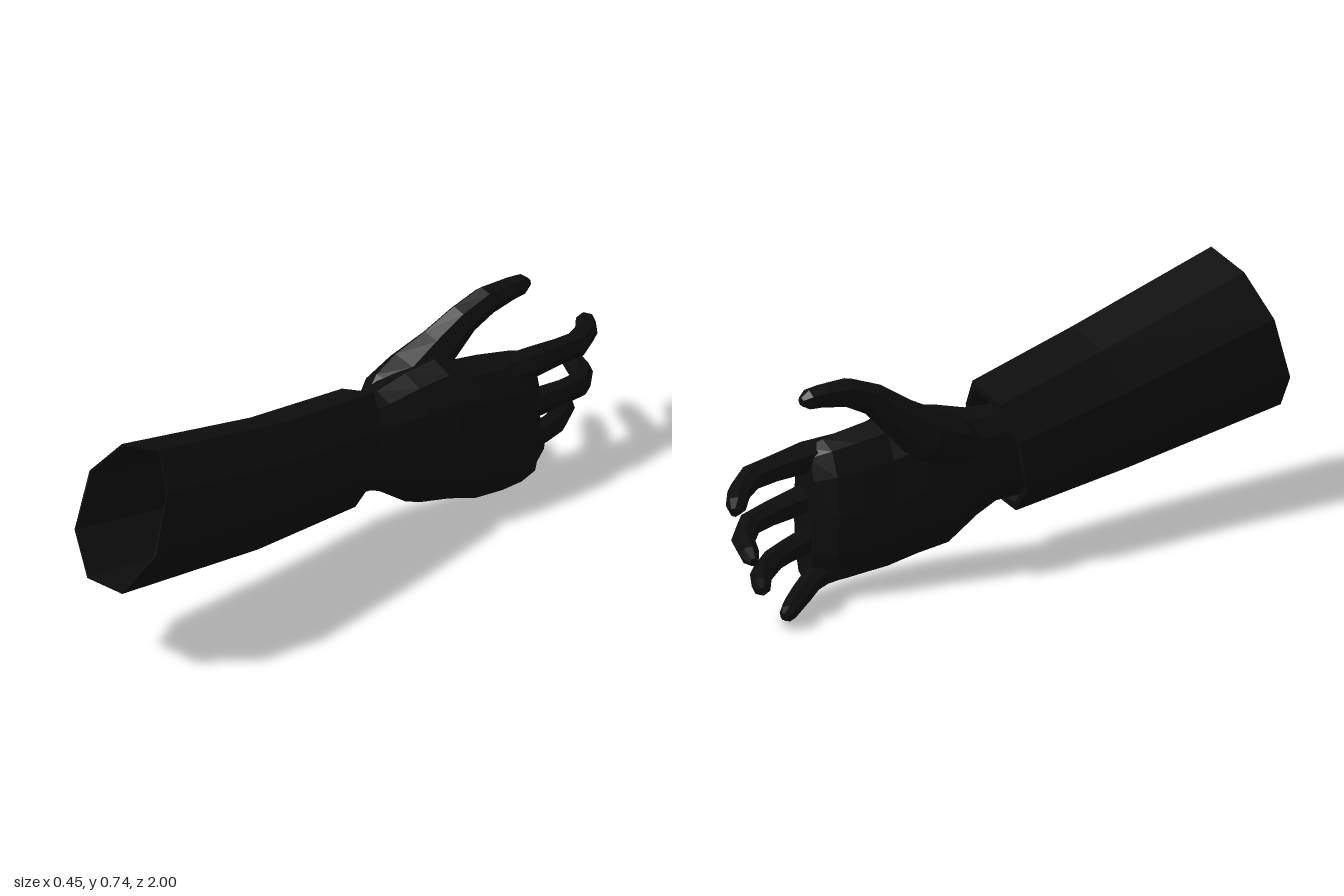
import * as THREE from 'three';

// Skin a list of equal-length rings (counter-clockwise seen from the start).
function loft(rings, capStart, capEnd) {
  const n = rings[0].length, pos = [], idx = [];
  rings.forEach(r => r.forEach(p => pos.push(p.x, p.y, p.z)));
  for (let i = 0; i < rings.length - 1; i++) {
    for (let j = 0; j < n; j++) {
      const a = i * n + j, b = i * n + (j + 1) % n, c = a + n, d = b + n;
      idx.push(a, c, b, b, c, d);
    }
  }
  const last = (rings.length - 1) * n;
  for (let j = 1; j < n - 1; j++) {
    if (capStart) idx.push(0, j, j + 1);
    if (capEnd) idx.push(last, last + j + 1, last + j);
  }
  const g = new THREE.BufferGeometry();
  g.setAttribute('position', new THREE.Float32BufferAttribute(pos, 3));
  g.setIndex(idx);
  g.computeVertexNormals();
  return g;
}

// Tapered digit along points [x, y, z, radius].
function digit(path, sides = 7) {
  const pts = path.map(p => new THREE.Vector3(p[0], p[1], p[2]));
  const rings = pts.map((p, i) => {
    const d = pts[Math.min(i + 1, pts.length - 1)].clone().sub(pts[Math.max(i - 1, 0)]).normalize();
    const v = new THREE.Vector3(0, 1, 0).addScaledVector(d, -d.y).normalize();
    const u = v.clone().cross(d.clone().negate());
    return Array.from({ length: sides }, (_, k) => {
      const a = k / sides * Math.PI * 2, r = path[i][3];
      return p.clone().addScaledVector(u, Math.cos(a) * r).addScaledVector(v, Math.sin(a) * r);
    });
  });
  return loft(rings, true, true);
}

export function createModel() {
  const group = new THREE.Group();
  const black = new THREE.MeshStandardMaterial({ color: 0x0d0d0d, flatShading: true, side: THREE.DoubleSide });
  black.name = 'black';
  const add = (name, geometry) => {
    const m = new THREE.Mesh(geometry, black);
    m.name = name;
    group.add(m);
  };

  // Sleeve: slanted octagonal tube with a turned-in cuff at the wrist
  const frontXY = [[-0.10, 0.58], [-0.11, 0.40], [-0.02, 0.29], [0.13, 0.30],
    [0.23, 0.45], [0.225, 0.64], [0.155, 0.74], [0.005, 0.70]];
  const backXY = [[-0.17, 0.40], [-0.16, 0.25], [-0.08, 0.165], [0.03, 0.19],
    [0.09, 0.30], [0.09, 0.45], [0.03, 0.54], [-0.10, 0.50]];
  const front = frontXY.map(([x, y]) => new THREE.Vector3(x, y, 0.88 + (0.74 - y) * 0.267));
  const back = backXY.map(([x, y]) => new THREE.Vector3(x, y, -0.04 + (0.54 - y) * 0.2));
  const mid = back.map((p, i) => p.clone().lerp(front[i], 0.43).add(new THREE.Vector3(0.012, -0.012, 0)));
  const shrink = (ring, s, dz = 0) => {
    const c = ring.reduce((t, p) => t.add(p), new THREE.Vector3()).divideScalar(ring.length);
    return ring.map(p => new THREE.Vector3(c.x + (p.x - c.x) * s, c.y + (p.y - c.y) * s, p.z + dz));
  };
  add('sleeve', loft([front, mid, back, shrink(back, 0.88), shrink(back, 0.78, 0.06),
    shrink(back, 0.95, 0.07), shrink(mid, 0.96), shrink(front, 0.97), front]));

  // Palm and wrist: rounded sections [z, yLow, yHigh, xPalm, xBack]
  const sections = [
    [0.06, 0.20, 0.48, -0.13, 0.05], [-0.04, 0.195, 0.485, -0.13, 0.055],
    [-0.11, 0.165, 0.49, -0.14, 0.065], [-0.21, 0.095, 0.515, -0.145, 0.085],
    [-0.31, 0.075, 0.53, -0.135, 0.10], [-0.40, 0.048, 0.50, -0.11, 0.106],
    [-0.50, 0.038, 0.485, -0.10, 0.105], [-0.58, 0.035, 0.47, -0.08, 0.09],
    [-0.635, 0.05, 0.45, -0.035, 0.07],
  ];
  add('palm', loft(sections.map(([z, y0, y1, x0, x1]) => Array.from({ length: 12 }, (_, k) => {
    const a = k / 12 * Math.PI * 2;
    const soft = t => Math.sign(t) * Math.pow(Math.abs(t), 0.85);
    return new THREE.Vector3((x0 + x1) / 2 + soft(Math.cos(a)) * (x1 - x0) / 2,
      (y0 + y1) / 2 + soft(Math.sin(a)) * (y1 - y0) / 2, z);
  })), false, true));

  // Thumb with its fleshy base
  add('thumb', digit([[-0.07, 0.38, -0.10, 0.05], [-0.095, 0.42, -0.20, 0.08], [-0.095, 0.455, -0.29, 0.085],
    [-0.08, 0.525, -0.38, 0.062], [-0.065, 0.59, -0.46, 0.048], [-0.06, 0.622, -0.54, 0.043],
    [-0.06, 0.627, -0.63, 0.034], [-0.06, 0.625, -0.675, 0.03], [-0.06, 0.622, -0.70, 0.014]]));

  // Fingers, curling towards the palm side
  add('indexFinger', digit([[0.02, 0.43, -0.46, 0.045], [0.025, 0.42, -0.62, 0.047], [0.015, 0.41, -0.74, 0.039],
    [0.005, 0.40, -0.83, 0.038], [-0.05, 0.385, -0.91, 0.034], [-0.115, 0.372, -0.965, 0.03], [-0.145, 0.365, -0.992, 0.014]]));
  add('middleFinger', digit([[0.03, 0.30, -0.50, 0.045], [0.035, 0.29, -0.63, 0.043], [0.02, 0.275, -0.75, 0.037],
    [0.0, 0.262, -0.84, 0.036], [-0.07, 0.247, -0.91, 0.034], [-0.17, 0.236, -0.955, 0.029], [-0.215, 0.23, -0.972, 0.013]]));
  add('ringFinger', digit([[0.02, 0.185, -0.48, 0.045], [0.02, 0.172, -0.61, 0.04], [0.0, 0.16, -0.70, 0.035],
    [-0.03, 0.15, -0.78, 0.034], [-0.09, 0.14, -0.86, 0.033], [-0.17, 0.135, -0.915, 0.028], [-0.21, 0.135, -0.938, 0.013]]));
  add('littleFinger', digit([[0.0, 0.09, -0.46, 0.04], [-0.005, 0.075, -0.58, 0.038], [-0.03, 0.06, -0.65, 0.034],
    [-0.07, 0.045, -0.71, 0.033], [-0.11, 0.034, -0.765, 0.03], [-0.145, 0.027, -0.805, 0.025], [-0.16, 0.025, -0.828, 0.012]]));

  return group;
}
